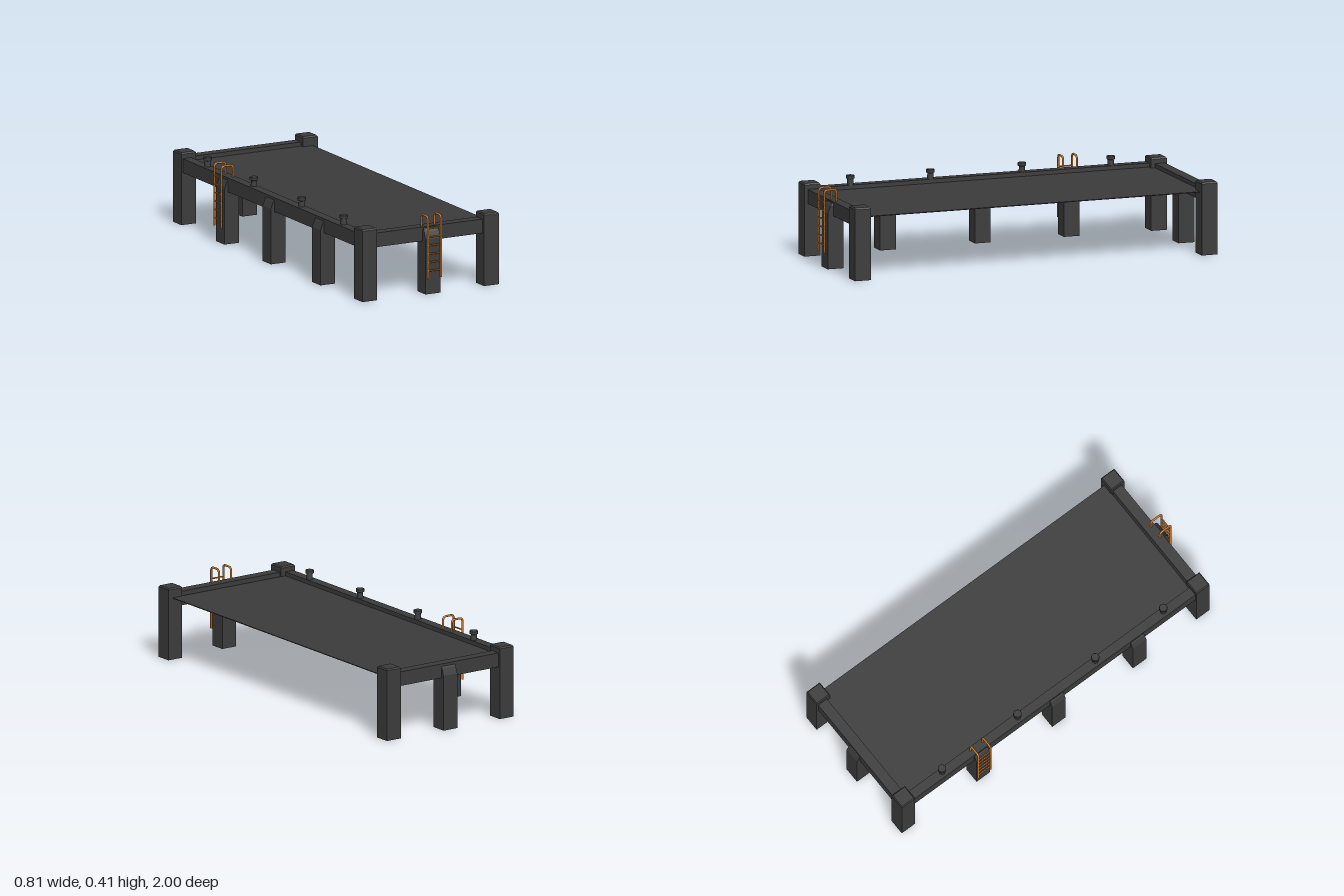
import * as THREE from 'three';

const steel = new THREE.MeshStandardMaterial({ name: 'dark grey', color: 0x3b3b3b, side: THREE.DoubleSide });
const orange = new THREE.MeshStandardMaterial({ name: 'ladder orange', color: 0xc87628 });

const W = 0.085; // width of posts and piles

// Shell through rectangular sections [y, x0, x1, z0, z1], capped on top, open below
function loft(name, rings) {
  const pos = [];
  const corners = ([y, x0, x1, z0, z1]) => [[x0, y, z1], [x1, y, z1], [x1, y, z0], [x0, y, z0]];
  const quad = (a, b, c, d) => [a, b, c, a, c, d].forEach((p) => pos.push(...p));
  for (let i = 0; i < rings.length - 1; i++) {
    const lo = corners(rings[i]), hi = corners(rings[i + 1]);
    for (let k = 0; k < 4; k++) quad(lo[k], lo[(k + 1) % 4], hi[(k + 1) % 4], hi[k]);
  }
  quad(...corners(rings[rings.length - 1]));
  const geo = new THREE.BufferGeometry();
  geo.setAttribute('position', new THREE.Float32BufferAttribute(pos, 3));
  geo.computeVertexNormals();
  const mesh = new THREE.Mesh(geo, steel);
  mesh.name = name;
  return mesh;
}

// Square corner post with a small bevel on top
function cornerPost(x, z) {
  const h = W / 2, t = h - 0.005;
  const post = loft('cornerPost', [[0, -h, h, -h, h], [0.366, -h, h, -h, h], [0.373, -t, t, -t, t]]);
  post.position.set(x, 0, z);
  return post;
}

// Pile whose outer face (local z = 0) slopes back to the beam at its head
function pile() {
  const h = W / 2;
  return loft('pile', [
    [0, -h, h, -W, 0],
    [0.285, -h, h, -W, 0],
    [0.285, -h, h, -0.06, 0],
    [0.322, -h, h, -0.06, -0.014],
    [0.337, -h + 0.004, h - 0.004, -0.06, -0.026],
  ]);
}

// Ladder with two hooked rails; local +z points away from the dock
function ladder() {
  const g = new THREE.Group();
  g.name = 'ladder';
  const top = 0.405, bend = 0.02, reach = -0.066, r = 0.0055;
  const v = (y, z) => new THREE.Vector3(0, y, z);
  const path = new THREE.CurvePath();
  path.add(new THREE.LineCurve3(v(0.085, 0), v(top - bend, 0)));
  path.add(new THREE.QuadraticBezierCurve3(v(top - bend, 0), v(top, 0), v(top, -bend)));
  path.add(new THREE.LineCurve3(v(top, -bend), v(top, reach + bend)));
  path.add(new THREE.QuadraticBezierCurve3(v(top, reach + bend), v(top, reach), v(top - bend, reach)));
  path.add(new THREE.LineCurve3(v(top - bend, reach), v(0.34, reach)));
  const railGeo = new THREE.TubeGeometry(path, 80, r, 8);
  const endGeo = new THREE.CircleGeometry(r, 8).rotateX(Math.PI / 2);
  for (const x of [-0.0375, 0.0375]) {
    const rail = new THREE.Mesh(railGeo, orange);
    rail.name = 'ladderRail';
    rail.position.x = x;
    const end = new THREE.Mesh(endGeo, orange);
    end.name = 'railEnd';
    end.position.set(x, 0.085, 0);
    g.add(rail, end);
  }
  const rungGeo = new THREE.CylinderGeometry(0.004, 0.004, 0.075, 8).rotateZ(Math.PI / 2);
  for (let i = 0; i < 6; i++) {
    const rung = new THREE.Mesh(rungGeo, orange);
    rung.name = 'rung';
    rung.position.y = 0.125 + i * 0.0436;
    g.add(rung);
  }
  return g;
}

// Mooring bollard: waisted shaft under a wider cap
function bollard(z) {
  const profile = [[0.017, 0.34], [0.015, 0.372], [0.0215, 0.375], [0.0215, 0.389], [0.02, 0.391], [0, 0.391]];
  const geo = new THREE.LatheGeometry(profile.map(([x, y]) => new THREE.Vector2(x, y)), 16);
  const flat = geo.toNonIndexed();
  flat.computeVertexNormals();
  const mesh = new THREE.Mesh(flat, steel);
  mesh.name = 'bollard';
  mesh.position.set(-0.339, 0, z);
  return mesh;
}

export function createModel() {
  const dock = new THREE.Group();
  dock.name = 'dock';
  const place = (obj, x, z, turn) => {
    obj.position.set(x, 0, z);
    obj.rotation.y = turn;
    dock.add(obj);
  };

  // Corner posts
  for (const x of [-0.3355, 0.364]) for (const z of [-0.948, 0.922]) dock.add(cornerPost(x, z));

  // Edge beams on three sides, the +x side stays open
  const beam = (name, x0, x1, z0, z1) =>
    dock.add(loft(name, [[0.27, x0, x1, z0, z1], [0.343, x0, x1, z0, z1]]));
  beam('frontBeam', -0.3, 0.33, 0.891, 0.947);
  beam('backBeam', -0.3, 0.33, -0.98, -0.925);
  beam('sideBeam', -0.37, -0.32, -0.91, 0.885);

  // Deck plate, set a little below the beam tops
  const deck = new THREE.Mesh(new THREE.BoxGeometry(0.702, 0.004, 1.809), steel);
  deck.name = 'deck';
  deck.position.set(0.029, 0.32, -0.0215);
  dock.add(deck);

  // Intermediate piles
  place(pile(), 0.02, 0.978, 0);
  place(pile(), 0.02, -1, Math.PI);
  for (const z of [0.51, -0.002, -0.482]) place(pile(), -0.39, z, -Math.PI / 2);

  // Ladders
  place(ladder(), 0.02, 0.9945, 0);
  place(ladder(), -0.402, -0.484, -Math.PI / 2);

  // Bollards along the side beam
  for (const z of [0.7, 0.268, -0.226, -0.705]) dock.add(bollard(z));

  return dock;
}
